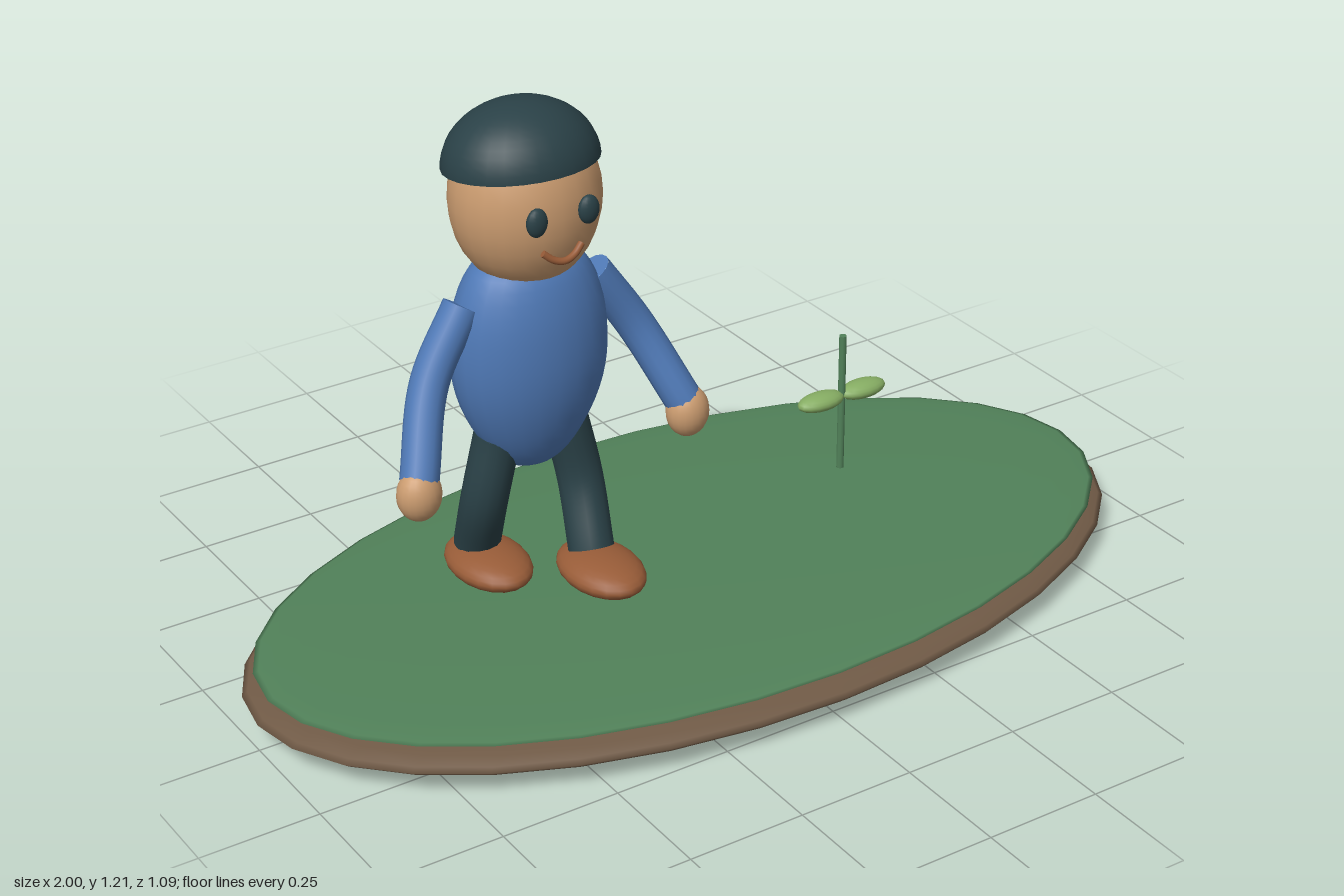
import * as THREE from 'three';

const mat = (name, color, side = THREE.FrontSide) =>
  Object.assign(new THREE.MeshStandardMaterial({ color, side }), { name });

export function createModel() {
  const soil = mat('soil brown', 0x705a46);
  const grass = mat('grass green', 0x518159);
  const leaf = mat('leaf green', 0x86ad63);
  const skin = mat('skin', 0xcb9c70);
  const shirt = mat('shirt blue', 0x4f79b6);
  const dark = mat('dark teal', 0x2a4147, THREE.DoubleSide);
  const leather = mat('leather brown', 0x985c38);

  const model = new THREE.Group();
  model.name = 'walkerOnIsland';

  const add = (parent, name, geometry, material, x = 0, y = 0, z = 0) => {
    const mesh = new THREE.Mesh(geometry, material);
    mesh.name = name;
    mesh.position.set(x, y, z);
    parent.add(mesh);
    return mesh;
  };
  const ellipsoid = (rx, ry, rz, w = 24, h = 16) =>
    new THREE.SphereGeometry(1, w, h).scale(rx, ry, rz);

  // Curved tube with flat end discs
  const limb = (parent, name, points, radius, material) => {
    const curve = new THREE.CatmullRomCurve3(points.map(p => new THREE.Vector3(...p)));
    const group = new THREE.Group();
    group.name = name;
    parent.add(group);
    add(group, name + 'Tube', new THREE.TubeGeometry(curve, 20, radius, 14), material);
    for (const t of [0, 1]) {
      const p = curve.getPointAt(t);
      const out = curve.getTangentAt(t).multiplyScalar(t ? 1 : -1);
      const end = add(group, name + 'End', new THREE.CircleGeometry(radius, 14), material, p.x, p.y, p.z);
      end.quaternion.setFromUnitVectors(new THREE.Vector3(0, 0, 1), out);
    }
  };

  // Ground: two flattened ellipsoids
  add(model, 'soilBase', ellipsoid(1, 0.057, 0.545, 32, 20), soil, 0, 0.057, 0);
  add(model, 'grassTop', ellipsoid(0.975, 0.018, 0.525, 32, 20), grass, 0, 0.104, 0);

  // Sprout
  const sprout = new THREE.Group();
  sprout.name = 'sprout';
  sprout.position.x = 0.372;
  model.add(sprout);
  add(sprout, 'stem', new THREE.CylinderGeometry(0.008, 0.008, 0.31, 10), grass, 0, 0.355, 0);
  for (const s of [-1, 1])
    add(sprout, 'leaf', ellipsoid(0.056, 0.019, 0.029, 16, 10), leaf, s * 0.053, 0.372, 0);

  // Walking figure
  const person = new THREE.Group();
  person.name = 'person';
  person.position.x = -0.377;
  model.add(person);

  // Egg-shaped torso
  const torsoProfile = new THREE.SplineCurve([
    [0.0001, 0.444], [0.06, 0.464], [0.112, 0.525], [0.15, 0.61], [0.164, 0.7],
    [0.154, 0.8], [0.118, 0.88], [0.06, 0.915], [0.0001, 0.925],
  ].map(p => new THREE.Vector2(...p)));
  add(person, 'torso', new THREE.LatheGeometry(torsoProfile.getPoints(28), 24).scale(1, 1, 0.71), shirt);

  // Head, cap and face
  add(person, 'head', ellipsoid(0.15, 0.18, 0.138), skin, 0, 1.02, 0);
  const cap = add(person, 'cap',
    new THREE.SphereGeometry(1, 28, 12, 0, Math.PI * 2, 0, Math.PI * 0.5).scale(0.156, 0.123, 0.138),
    dark, 0, 1.085, -0.012);
  cap.rotation.x = -0.1;
  for (const s of [-1, 1])
    add(person, 'eye', ellipsoid(0.022, 0.029, 0.014, 16, 12), dark, s * 0.056, 1.028, 0.137);
  limb(person, 'mouth', [[-0.042, 0.96, 0.132], [-0.022, 0.944, 0.138], [0, 0.938, 0.141],
    [0.022, 0.944, 0.138], [0.042, 0.96, 0.132]], 0.007, leather);

  // Mirrored limbs; the left leg strides forward, the right back
  for (const s of [-1, 1]) {
    const side = s > 0 ? 'left' : 'right';
    limb(person, side + 'Arm',
      [[s * 0.144, 0.825, 0], [s * 0.23, 0.692, 0.018], [s * 0.297, 0.535, 0.088]], 0.038, shirt);
    add(person, side + 'Hand', ellipsoid(0.045, 0.054, 0.04, 20, 14), skin, s * 0.302, 0.512, 0.095);
    limb(person, side + 'Leg',
      [[s * 0.075, 0.53, 0], [s * 0.1, 0.39, s * 0.015], [s * 0.088, 0.258, s * 0.073]], 0.047, dark);
    add(person, side + 'Shoe', ellipsoid(0.078, 0.037, 0.115, 20, 14), leather,
      s * 0.086, 0.23, s * 0.073 + 0.04);
  }
  return model;
}
